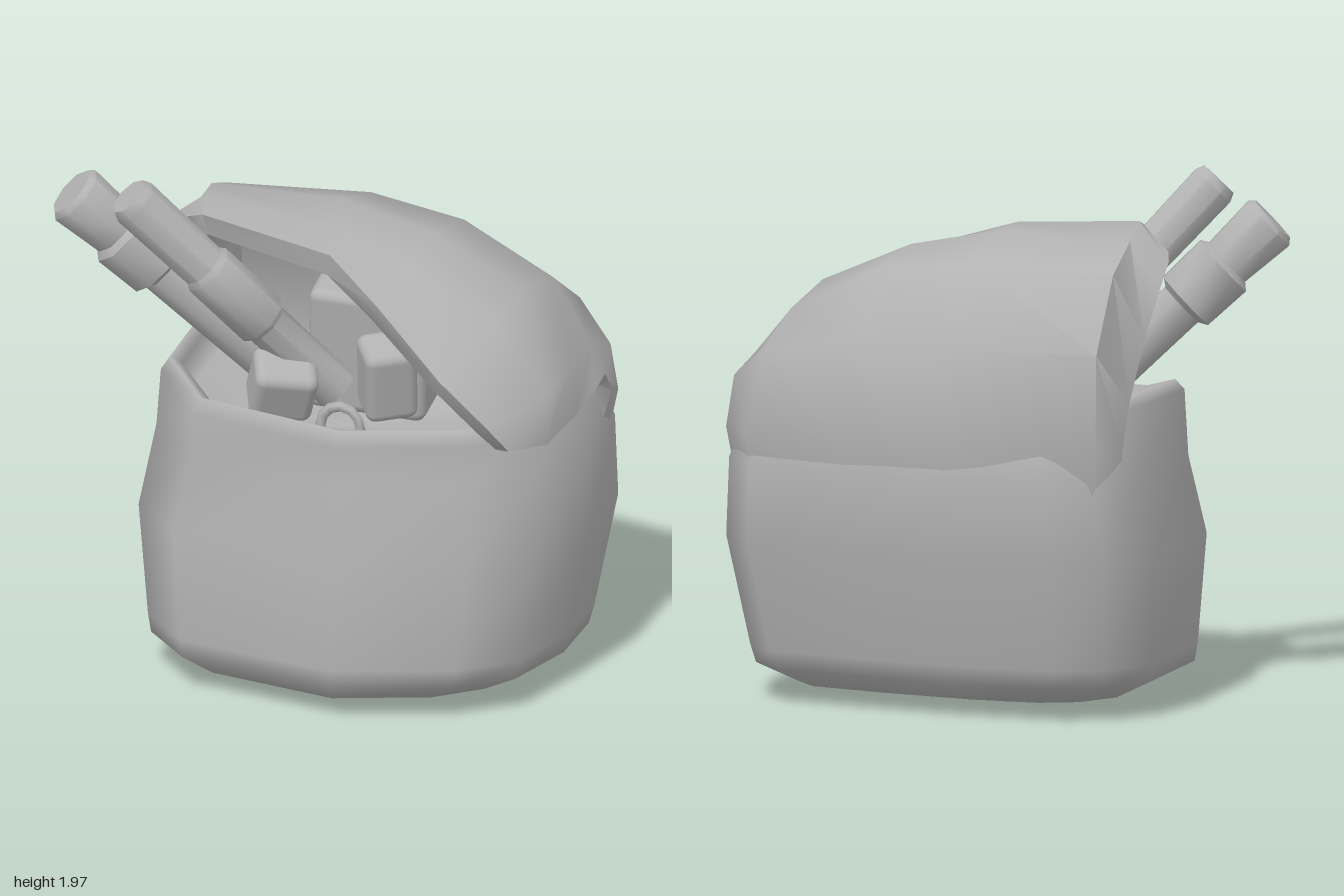
import * as THREE from 'three';
import { toCreasedNormals } from 'three/addons/utils/BufferGeometryUtils.js';
import { RoundedBoxGeometry } from 'three/addons/geometries/RoundedBoxGeometry.js';

const clay = new THREE.MeshStandardMaterial({ color: 0xb2b2b2 });
clay.name = 'clay grey';

function makeMesh(geometry, name) {
  const mesh = new THREE.Mesh(geometry, clay);
  mesh.name = name;
  return mesh;
}

function smoothGeometry(points, index) {
  const g = new THREE.BufferGeometry();
  g.setAttribute('position', new THREE.Float32BufferAttribute(points.flat(), 3));
  g.setIndex(index);
  g.computeVertexNormals();
  return g;
}

// Plan outline of the bag, counter-clockwise from above
const plan = [[1, -0.1], [0.97, -0.47], [0.83, -0.6], [0.4, -0.65], [0, -0.67], [-0.42, -0.64], [-0.6, -0.54],
  [-0.71, -0.33], [-0.65, 0.3], [-0.42, 0.54], [0.27, 0.66], [0.73, 0.47], [0.93, 0.27]]
  .map(([x, z]) => [(x + 0.71) / 1.71, (z + 0.67) / 1.33]);

// Rings: y, xMin, xMax, zMin, zMax; up the outside, over the rim, down the inside
const rings = [
  [0.0, 0.25, 0.25, 0.08, 0.08],
  [0.015, -0.15, 0.45, -0.18, 0.32],
  [0.06, -0.5, 0.77, -0.44, 0.58],
  [0.13, -0.645, 0.92, -0.525, 0.66],
  [0.2, -0.66, 0.935, -0.55, 0.665],
  [0.62, -0.71, 1.0, -0.645, 0.67],
  [0.92, -0.665, 0.975, -0.66, 0.575],
  [1.07, -0.625, 0.93, -0.6, 0.62],
  [1.12, -0.6, 0.89, -0.57, 0.56],
  [1.1, -0.56, 0.86, -0.54, 0.51],
  [0.97, -0.55, 0.85, -0.53, 0.48],
  [0.93, 0.15, 0.15, 0, 0],
];

function bagBody() {
  const points = [], index = [], n = plan.length;
  rings.forEach(([y, x0, x1, z0, z1], i) => {
    plan.forEach(([u, v], j) => {
      const x = x0 + (x1 - x0) * u;
      // the rim climbs towards the open side
      const lift = i >= 7 ? Math.max(0, -x - 0.3) * 0.33 : 0;
      points.push([x, y + lift, z0 + (z1 - z0) * v]);
      if (i === rings.length - 1) return;
      const a = i * n + j, b = i * n + (j + 1) % n;
      index.push(a, b, b + n, a, b + n, a + n);
    });
  });
  return smoothGeometry(points, index);
}

// Flap rows run from the back, over the top, to the front lip; each goes left edge to right edge.
// The first row is sunk into the body so the two surfaces run into each other.
const flapRows = [
  [[-0.6, 0.8, -0.38], [-0.55, 0.8, -0.53], [0, 0.8, -0.61], [0.4, 0.8, -0.6], [0.79, 0.8, -0.55], [0.92, 0.8, -0.45], [0.93, 0.9, -0.36]],
  [[-0.62, 1.03, -0.4], [-0.58, 1.03, -0.56], [0, 1.03, -0.667], [0.4, 1.03, -0.65], [0.83, 1.03, -0.6], [0.965, 1.03, -0.46], [0.98, 1.06, -0.36]],
  [[-0.63, 1.2, -0.36], [-0.57, 1.4, -0.53], [0, 1.4, -0.61], [0.4, 1.4, -0.6], [0.78, 1.34, -0.54], [0.95, 1.22, -0.42], [0.98, 1.15, -0.29]],
  [[-0.635, 1.42, -0.23], [-0.56, 1.68, -0.35], [0, 1.7, -0.4], [0.38, 1.65, -0.38], [0.74, 1.48, -0.36], [0.94, 1.28, -0.25], [0.98, 1.12, -0.18]],
  [[-0.635, 1.6, -0.08], [-0.52, 1.77, -0.1], [0, 1.78, -0.1], [0.38, 1.7, -0.08], [0.75, 1.54, -0.05], [0.955, 1.28, 0], [0.975, 1.085, 0]],
  [[-0.62, 1.68, 0.03], [-0.46, 1.81, 0.12], [0.05, 1.77, 0.16], [0.38, 1.67, 0.2], [0.73, 1.49, 0.2], [0.95, 1.23, 0.2], [0.955, 1.05, 0.24]],
  [[-0.58, 1.7, 0.12], [-0.42, 1.78, 0.25], [0.12, 1.72, 0.33], [0.33, 1.56, 0.38], [0.61, 1.33, 0.465], [0.79, 1.16, 0.44], [0.86, 1.06, 0.39]],
];

// Thickens the grid inwards along its normals and closes the edge
function flapShell(rows, thickness) {
  const R = rows.length, C = rows[0].length, N = R * C;
  const outer = rows.flat(), index = [], edge = [];
  for (let i = 0; i < R - 1; i++) for (let j = 0; j < C - 1; j++) {
    const a = i * C + j, b = a + 1, c = a + C, d = c + 1;
    index.push(a, d, b, a, c, d);
  }
  const normal = smoothGeometry(outer, index).attributes.normal;
  const inner = outer.map((p, k) => [
    p[0] - normal.getX(k) * thickness, p[1] - normal.getY(k) * thickness, p[2] - normal.getZ(k) * thickness]);
  const inside = [];
  for (let k = 0; k < index.length; k += 3) inside.push(index[k] + N, index[k + 2] + N, index[k + 1] + N);
  for (let j = 0; j < C - 1; j++) edge.push(j);
  for (let i = 0; i < R - 1; i++) edge.push(i * C + C - 1);
  for (let j = C - 1; j > 0; j--) edge.push((R - 1) * C + j);
  for (let i = R - 1; i > 0; i--) edge.push(i * C);
  const sides = [];
  edge.forEach((a, k) => {
    const b = edge[(k + 1) % edge.length];
    sides.push(a, b, b + N, a, b + N, a + N);
  });
  const shell = smoothGeometry([...outer, ...inner], [...index, ...inside, ...sides]);
  return toCreasedNormals(shell, 1.2);
}

// Stick turned from a profile of [radius, distance from the lower end]
function stick(name, from, to, profile) {
  const start = new THREE.Vector3(...from);
  const dir = new THREE.Vector3(...to).sub(start);
  const length = dir.length();
  const lathe = new THREE.LatheGeometry(profile.map(([r, t]) => new THREE.Vector2(r, t * length)), 8);
  const mesh = makeMesh(toCreasedNormals(lathe, 0.85), name);
  mesh.position.copy(start);
  mesh.quaternion.setFromUnitVectors(new THREE.Vector3(0, 1, 0), dir.normalize());
  return mesh;
}

function block(name, size, position, rotation) {
  const mesh = makeMesh(new RoundedBoxGeometry(...size, 2, 0.04), name);
  mesh.position.set(...position);
  mesh.rotation.set(...rotation);
  return mesh;
}

export function createModel() {
  const model = new THREE.Group();
  model.name = 'bag';
  model.add(makeMesh(bagBody(), 'bagBody'), makeMesh(flapShell(flapRows, 0.09), 'flap'));

  // Sticks poking out of the open side
  model.add(
    stick('flaredStick', [-0.24, 1.1, -0.06], [-0.925, 1.82, 0.3],
      [[0, 0], [0.095, 0], [0.095, 0.56], [0.13, 0.58], [0.135, 0.76], [0.105, 0.78], [0.12, 0.98], [0.1, 1], [0, 1]]),
    stick('slimStick', [0.06, 1.1, 0.1], [-0.61, 1.92, 0.52],
      [[0, 0], [0.085, 0], [0.085, 0.34], [0.105, 0.36], [0.105, 0.62], [0.09, 0.64], [0.095, 0.97], [0.08, 1], [0, 1]]));

  // Things packed inside
  model.add(
    block('frontBlock', [0.24, 0.22, 0.2], [-0.1, 1.15, 0.25], [0.5, 0.4, -0.35]),
    block('sideBlock', [0.2, 0.3, 0.2], [0.3, 1.22, 0.2], [0.3, 0.6, -0.1]),
    block('backBlock', [0.46, 0.5, 0.3], [0.13, 1.23, -0.12], [0.15, 0.1, -0.08]));
  const ring = makeMesh(new THREE.TorusGeometry(0.08, 0.02, 6, 12), 'ring');
  ring.position.set(0.16, 1.04, 0.32);
  model.add(ring);
  return model;
}
